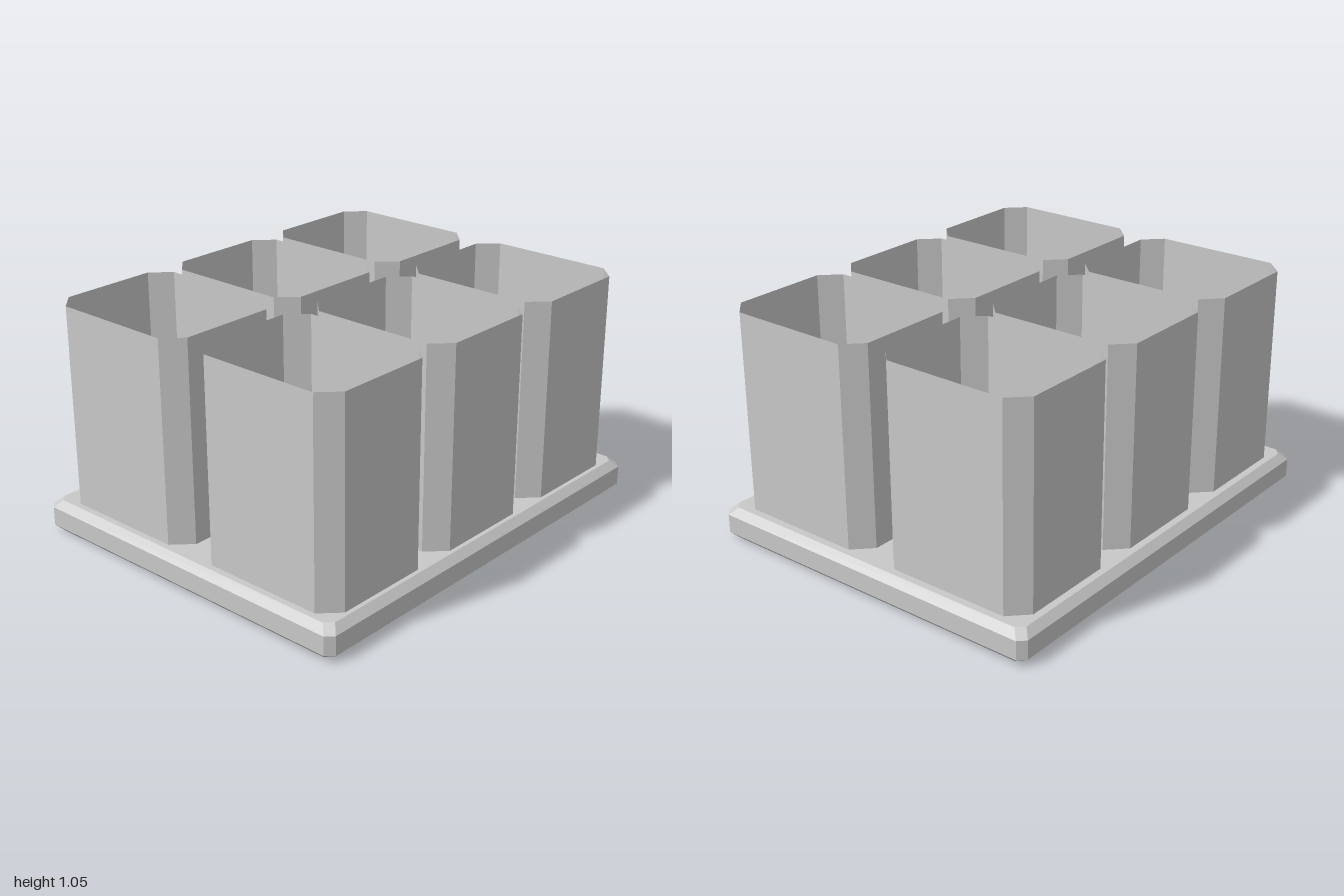
import * as THREE from 'three';

// Rectangle with clipped corners at height y, running from +x towards +z
function octagon(halfX, halfZ, clip, y) {
  const x = halfX - clip, z = halfZ - clip;
  return [
    [halfX, -z], [halfX, z], [x, halfZ], [-x, halfZ],
    [-halfX, z], [-halfX, -z], [-x, -halfZ], [x, -halfZ],
  ].map(([px, pz]) => new THREE.Vector3(px, y, pz));
}

// Skin a stack of rings from bottom to top, optionally closing both ends
function loft(rings, capped) {
  const points = [];
  const n = rings[0].length;
  for (let r = 0; r < rings.length - 1; r++) {
    const low = rings[r], high = rings[r + 1];
    for (let i = 0; i < n; i++) {
      const j = (i + 1) % n;
      points.push(low[i], high[i], low[j], low[j], high[i], high[j]);
    }
  }
  if (capped) {
    const bottom = rings[0], top = rings[rings.length - 1];
    for (let i = 1; i < n - 1; i++) {
      points.push(bottom[0], bottom[i], bottom[i + 1]);
      points.push(top[0], top[i + 1], top[i]);
    }
  }
  const geometry = new THREE.BufferGeometry().setFromPoints(points);
  geometry.computeVertexNormals();
  return geometry;
}

export function createModel() {
  const group = new THREE.Group();
  group.name = 'cupTray';
  const grey = new THREE.MeshStandardMaterial({
    name: 'lightGrey', color: 0xc8c8c8, flatShading: true, side: THREE.DoubleSide,
  });

  // Base plate with bevelled edges and corners
  const base = new THREE.Mesh(loft([
    octagon(0.968, 0.788, 0.032, 0),
    octagon(1, 0.82, 0.032, 0.032),
    octagon(1, 0.82, 0.032, 0.116),
    octagon(0.968, 0.788, 0.032, 0.148),
  ], true), grey);
  base.name = 'basePlate';
  group.add(base);

  // Open thin-walled cups, three across and two deep
  const cupGeometry = loft([
    octagon(0.297, 0.358, 0.08, 0.148),
    octagon(0.297, 0.358, 0.08, 1.046),
  ], false);
  for (const z of [0.411, -0.398]) {
    for (const x of [-0.643, -0.003, 0.638]) {
      const cup = new THREE.Mesh(cupGeometry, grey);
      cup.name = 'cup';
      cup.position.set(x, 0, z);
      group.add(cup);
    }
  }
  return group;
}
